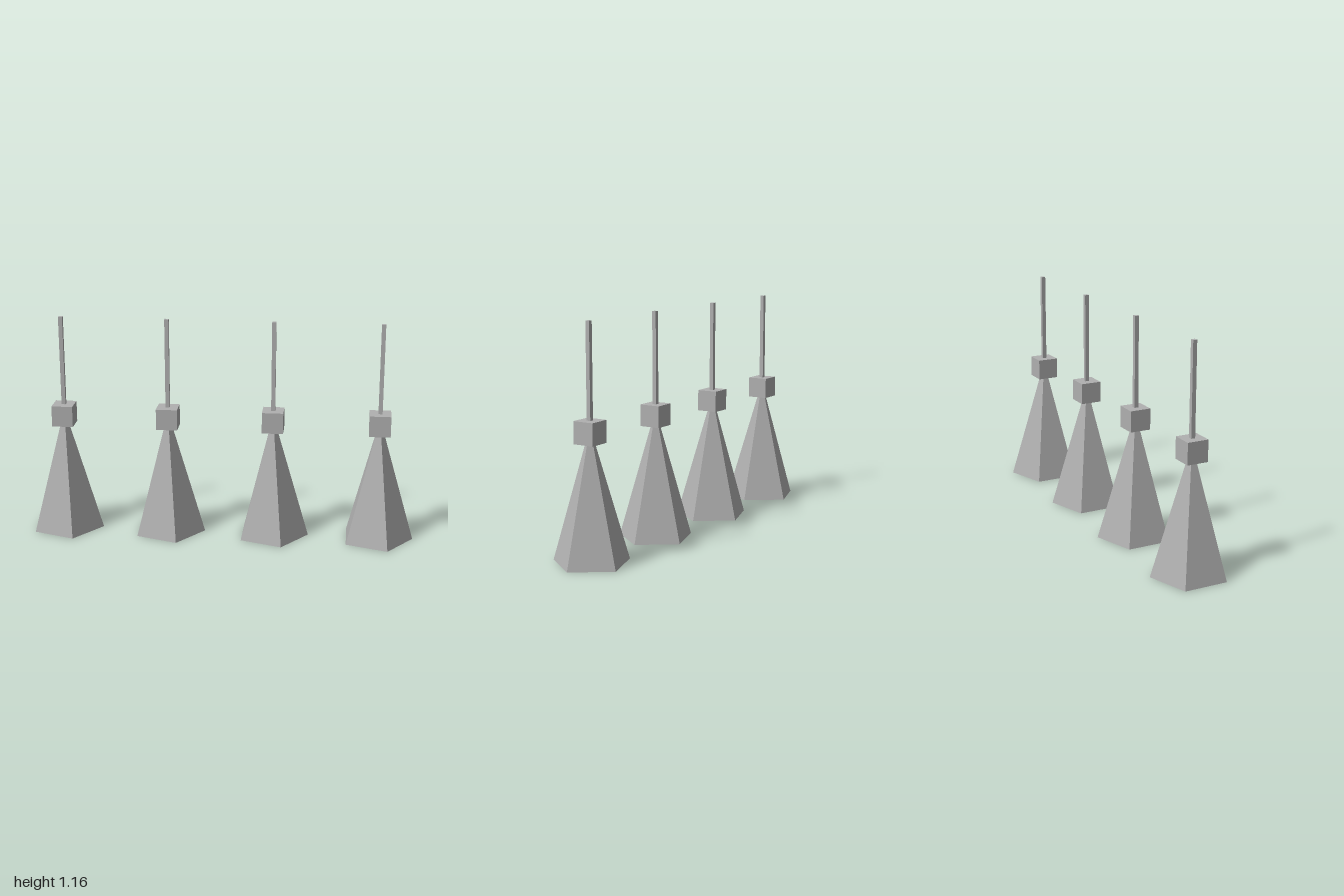
import * as THREE from 'three';

const COUNT = 4, SPACING = 0.5505, FIRST_X = -0.844;

export function createModel() {
  const grey = new THREE.MeshStandardMaterial({ color: 0xb0b0b0 });
  grey.name = 'grey';
  grey.flatShading = true;
  grey.side = THREE.DoubleSide; // the shades are open underneath

  // Five-sided open cone with one corner towards +x
  const shadeHeight = 0.66;
  const shadeGeometry = new THREE.ConeGeometry(0.1927, shadeHeight, 5, 1, true, Math.PI / 2);
  shadeGeometry.translate(0, shadeHeight / 2, 0);

  // Cube holder over the tip of the cone
  const holderGeometry = new THREE.BoxGeometry(0.11, 0.11, 0.11);
  holderGeometry.translate(0, 0.633, 0);

  // Thin square hanging rod
  const rodGeometry = new THREE.BoxGeometry(0.021, 0.468, 0.021);
  rodGeometry.translate(0, 0.922, 0);

  const parts = { shade: shadeGeometry, holder: holderGeometry, rod: rodGeometry };

  const model = new THREE.Group();
  model.name = 'pendantLampRow';
  for (let i = 0; i < COUNT; i++) {
    const lamp = new THREE.Group();
    lamp.name = `pendantLamp${i + 1}`;
    lamp.position.x = FIRST_X + i * SPACING;
    for (const [name, geometry] of Object.entries(parts)) {
      const mesh = new THREE.Mesh(geometry, grey);
      mesh.name = name;
      lamp.add(mesh);
    }
    model.add(lamp);
  }
  return model;
}
